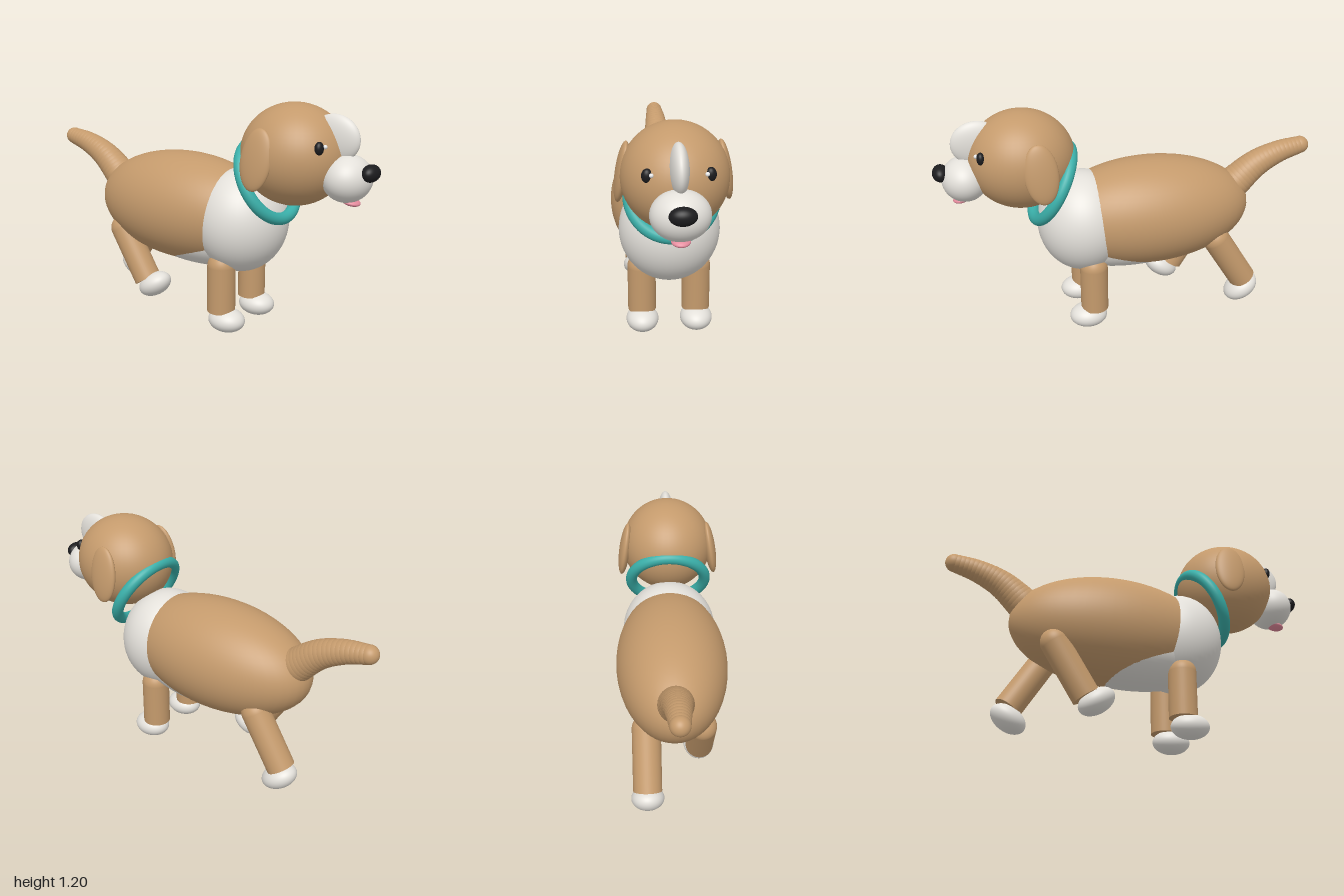
import * as THREE from 'three';

const paint = (name, color) => {
  const m = new THREE.MeshStandardMaterial({ color });
  m.name = name;
  return m;
};

export function createModel() {
  const tan = paint('tan fur', 0xc49a6c);
  const cream = paint('cream fur', 0xe3e0da);
  const teal = paint('teal collar', 0x3aafa9);
  const black = paint('black', 0x1c1c1e);
  const pink = paint('pink tongue', 0xe38a9c);
  const white = paint('eye white', 0xffffff);

  const dog = new THREE.Group();
  dog.name = 'dog';

  const add = (name, geometry, material, parent = dog) => {
    const mesh = new THREE.Mesh(geometry, material);
    mesh.name = name;
    parent.add(mesh);
    return mesh;
  };
  // Ellipsoid from a centre and three radii
  const blob = (name, material, pos, radii, parent = dog) => {
    const mesh = add(name, new THREE.SphereGeometry(1, 48, 32), material, parent);
    mesh.position.set(...pos);
    mesh.scale.set(...radii);
    return mesh;
  };

  // Torso
  blob('body', tan, [-0.1, 0.59, 0], [0.55, 0.29, 0.29]);
  blob('chest', cream, [0.26, 0.57, 0], [0.24, 0.27, 0.255]);
  blob('belly', cream, [0, 0.47, 0], [0.45, 0.177, 0.22]);

  // Head and face
  blob('head', tan, [0.56, 0.952, 0], [0.267, 0.249, 0.249]);
  blob('muzzle', cream, [0.845, 0.872, 0], [0.115, 0.112, 0.133]);
  blob('blaze', cream, [0.77, 1.05, 0], [0.13, 0.115, 0.043]);
  blob('nose', black, [0.96, 0.912, 0], [0.04, 0.041, 0.06]);
  blob('tongue', pink, [0.87, 0.765, 0], [0.045, 0.017, 0.043]).rotation.z = -0.2;

  for (const side of [1, -1]) {
    const label = side > 0 ? 'front' : 'back';
    blob(`${label}SideEye`, black, [0.765, 1.023, side * 0.136], [0.021, 0.032, 0.025]);
    blob(`${label}SideEyeGlint`, white, [0.787, 1.031, side * 0.119], [0.01, 0.01, 0.01]);
    const ear = blob(`${label}SideEar`, tan, [0.495, 0.953, side * 0.238], [0.084, 0.149, 0.031]);
    ear.rotation.set(side * -0.16, 0, -0.08);
  }

  // Collar, tilted around the neck
  const ring = new THREE.TorusGeometry(0.205, 0.031, 24, 72).rotateY(Math.PI / 2);
  const collar = add('collar', ring, teal);
  collar.position.set(0.415, 0.802, 0);
  collar.rotation.z = 0.51;

  // Legs swing about their rounded top; the paw follows the leg
  const leg = (name, x, y, z, length, swing) => {
    const group = new THREE.Group();
    group.name = name;
    group.position.set(x, y, z);
    group.rotation.z = swing;
    dog.add(group);
    const shaft = new THREE.CylinderGeometry(0.073, 0.073, length, 40);
    add('shaft', shaft.translate(0, -length / 2, 0), tan, group);
    blob('joint', tan, [0, 0, 0], [0.073, 0.073, 0.073], group);
    blob('paw', cream, [0.035, -length - 0.043, 0], [0.1, 0.062, 0.084], group);
  };
  leg('frontLegNear', 0.235, 0.35, 0.141, 0.245, 0);
  leg('frontLegFar', 0.235, 0.35, -0.141, 0.245, 0);
  leg('hindLegNear', -0.435, 0.43, 0.141, 0.315, 0.56);
  leg('hindLegFar', -0.44, 0.43, -0.141, 0.315, -0.56);

  // Tail: overlapping tapering beads along a curve give soft rings
  const tail = new THREE.Group();
  tail.name = 'tail';
  dog.add(tail);
  const path = new THREE.CatmullRomCurve3([
    new THREE.Vector3(-0.57, 0.68, 0),
    new THREE.Vector3(-0.7, 0.787, 0),
    new THREE.Vector3(-0.83, 0.845, 0),
    new THREE.Vector3(-0.95, 0.872, 0),
  ]);
  const beads = 20;
  for (let i = 0; i < beads; i++) {
    const t = i / (beads - 1);
    const r = THREE.MathUtils.lerp(0.09, 0.047, t);
    blob('tailBead', tan, path.getPointAt(t).toArray(), [r, r, r], tail);
  }

  return dog;
}
